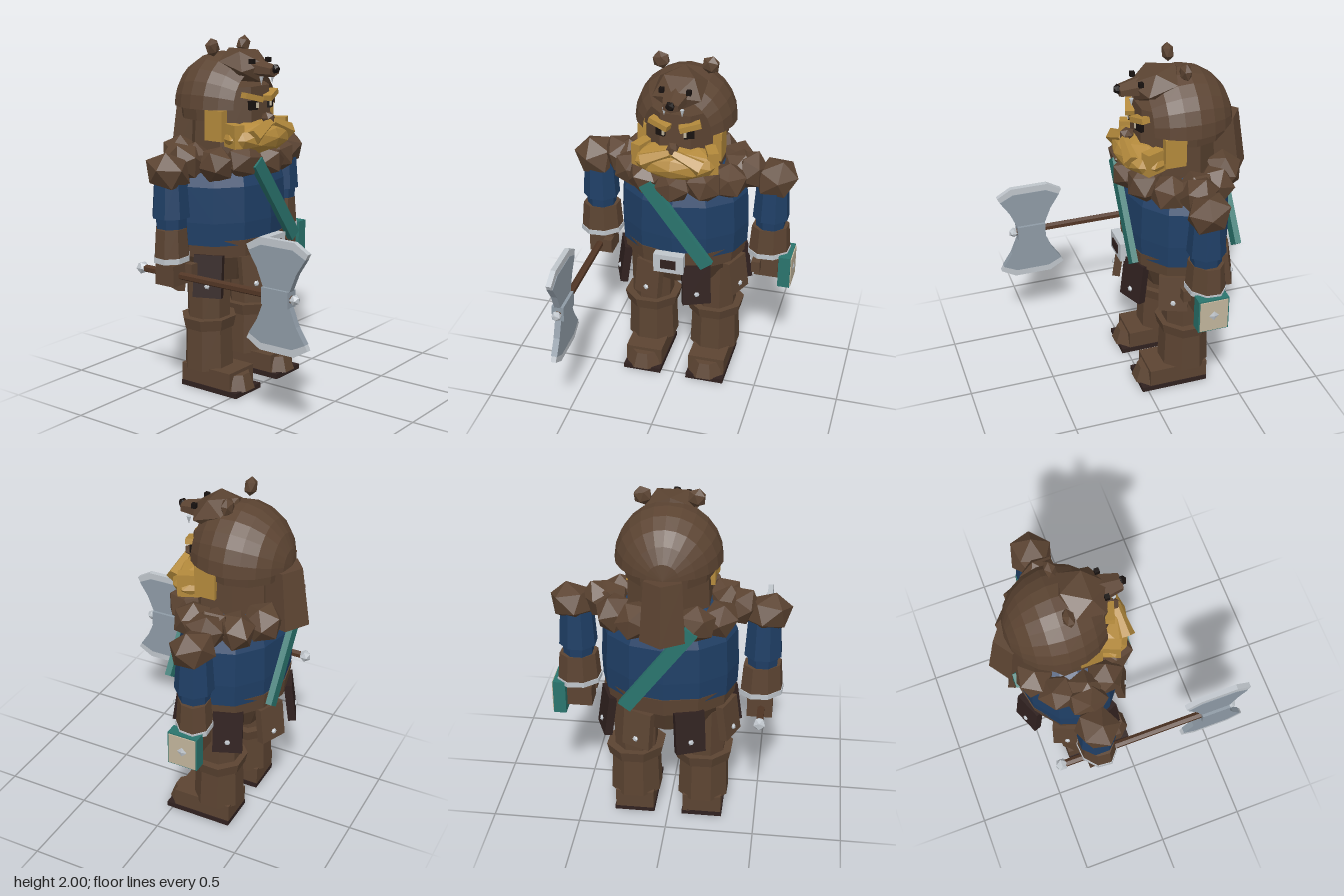
import * as THREE from 'three';

const mat = (name, color) => {
  const m = new THREE.MeshStandardMaterial({ color });
  m.name = name;
  return m;
};

export function createModel() {
  const root = new THREE.Group();
  root.name = 'warrior';
  const brown = mat('brown fur and leather', 0x5c4432);
  const dark = mat('dark leather', 0x30211f);
  const blue = mat('blue cloth', 0x1f3f66);
  const teal = mat('teal', 0x2a756e);
  const gold = mat('golden hair', 0xb48a3c);
  const steel = mat('steel', 0x8f9ba6);
  const silver = mat('silver', 0xc0c6cc);
  const cream = mat('cream', 0xc2b59c);
  const black = mat('black', 0x17110f);
  const wood = mat('wood', 0x523625);
  const Z = -0.25; // body axis

  // faceted mesh with position, rotation and scale
  function add(name, geo, m, p, r = [0, 0, 0], s = [1, 1, 1], parent = root) {
    const g = geo.index ? geo.toNonIndexed() : geo;
    g.computeVertexNormals();
    const mesh = new THREE.Mesh(g, m);
    mesh.name = name;
    mesh.position.set(...p);
    mesh.rotation.set(...r);
    mesh.scale.set(...s);
    parent.add(mesh);
    return mesh;
  }
  const box = (w, h, d) => new THREE.BoxGeometry(w, h, d);
  const cyl = (rt, rb, h, n = 8) => new THREE.CylinderGeometry(rt, rb, h, n);
  const ico = (r, d = 0) => new THREE.IcosahedronGeometry(r, d);
  const lathe = (pts, n) => new THREE.LatheGeometry(pts.map(p => new THREE.Vector2(...p)), n);

  // torso, belt, hips
  add('tunic', lathe([[0, 0.86], [0.375, 0.87], [0.38, 1.0], [0.37, 1.2], [0.31, 1.33], [0.15, 1.4], [0, 1.4]], 12),
    blue, [0, 0, Z], [0, 0, 0], [1, 1, 0.79]);
  add('belt', cyl(0.37, 0.36, 0.1, 12), brown, [0, 0.85, Z], [0, 0, 0], [1, 1, 0.82]);
  add('hips', cyl(0.35, 0.26, 0.16, 10), brown, [0, 0.73, Z], [0, 0, 0], [1, 1, 0.8]);
  add('buckle', box(0.175, 0.115, 0.05), silver, [-0.01, 0.85, 0.07]);
  add('buckleCentre', box(0.09, 0.055, 0.008), dark, [-0.01, 0.85, 0.098]);
  for (const [name, z] of [['frontStrap', 0.06], ['backStrap', -0.56]])
    add(name, box(0.08, 0.6, 0.035), teal, [0.03, 1.1, z], [0, 0, 0.637]);

  // ring of hanging flaps with studs
  for (let i = 0; i < 8; i++) {
    const a = (i + 0.5) * Math.PI / 4;
    const flap = new THREE.Group();
    flap.name = 'skirtFlap';
    flap.position.set(Math.sin(a) * 0.365, 0.7, Z + Math.cos(a) * 0.305);
    flap.rotation.set(-0.14, a, 0, 'YXZ');
    root.add(flap);
    const isDark = i % 2 === 0;
    add('flap', box(0.165, isDark ? 0.24 : 0.21, 0.045), isDark ? dark : brown, [0, 0, 0], [0, 0, 0], [1, 1, 1], flap);
    add('stud', ico(0.017), silver, [0, -0.055, 0.026], [0, 0, 0], [1, 1, 0.7], flap);
  }

  for (const s of [-1, 1]) {
    // legs and boots
    const x = s * 0.195;
    add('thigh', cyl(0.13, 0.125, 0.32), brown, [x, 0.56, Z], [0, Math.PI / 8, 0]);
    add('bootCuff', cyl(0.175, 0.16, 0.065), brown, [x, 0.395, Z], [0, Math.PI / 8, 0], [1, 1, 0.92]);
    add('bootShaft', cyl(0.142, 0.152, 0.26), brown, [x, 0.25, Z], [0, Math.PI / 8, 0], [1, 1, 0.95]);
    add('bootFoot', box(0.22, 0.11, 0.35), brown, [x, 0.08, -0.19]);
    add('bootToe', cyl(0.08, 0.115, 0.09, 8), brown, [x, 0.07, -0.05], [0, Math.PI / 8, 0], [1, 1, 0.95]);
    add('sole', box(0.23, 0.03, 0.4), dark, [x, 0.015, -0.165]);

    // arms
    const ax = s * 0.51;
    add('sleeve', cyl(0.09, 0.108, 0.26), blue, [ax, 1.19, Z], [0, Math.PI / 8, 0]);
    add('sleeveBand', cyl(0.09, 0.085, 0.08), blue, [ax, 1.03, Z], [0, Math.PI / 8, 0]);
    add('bracer', cyl(0.11, 0.125, 0.18), brown, [ax, 0.91, Z], [0, Math.PI / 8, 0], [1, 1, 0.8]);
    add('braceletRing', cyl(0.128, 0.128, 0.03), silver, [ax, 0.83, Z], [0, Math.PI / 8, 0], [1, 1, 0.8]);
    add('hand', box(0.14, 0.12, 0.13), brown, [s * 0.505, 0.74, Z]);
    add('thumb', box(0.05, 0.07, 0.06), brown, [s * 0.45, 0.76, Z + 0.08]);

    // shoulder fur
    add('shoulderFur', ico(0.135), brown, [s * 0.53, 1.31, Z], [0.3, 0.4 * s, 0.3 * s], [1, 0.82, 0.98]);
    add('innerShoulderFur', ico(0.12), brown, [s * 0.38, 1.34, Z], [0.5, 0.2, s], [1, 0.8, 1]);

    // face halves
    add('sideburn', box(0.05, 0.17, 0.12), gold, [s * 0.215, 1.53, -0.17]);
    add('cheekBeard', box(0.06, 0.13, 0.13), gold, [s * 0.195, 1.48, -0.06], [0, s * 0.4, 0]);
    add('moustache', cyl(0.025, 0.05, 0.17, 5), gold, [s * 0.085, 1.51, 0.05], [0, 0, s * 1.15]);
    add('eye', box(0.055, 0.05, 0.02), black, [s * 0.08, 1.64, -0.015], [0, s * 0.35, 0]);
    add('eyeShine', box(0.015, 0.03, 0.008), cream, [s * 0.062, 1.64, 0.002], [0, s * 0.35, 0]);
    add('eyebrow', box(0.12, 0.032, 0.05), gold, [s * 0.085, 1.685, -0.015], [0, s * 0.3, s * 0.25]);

    // bear hood halves
    add('bearEar', ico(0.053), brown, [s * 0.14, 1.95, -0.25], [0, 0, s * 0.3], [1, 1, 0.65]);
    add('bearEye', box(0.026, 0.026, 0.026), black, [s * 0.075, 1.88, -0.025]);
    add('bearTooth', new THREE.ConeGeometry(0.013, 0.045, 5), silver, [s * 0.05, 1.775, 0.02], [Math.PI, 0, 0]);
  }

  // fur collar
  for (let i = 0; i < 12; i++) {
    const a = i * Math.PI / 6;
    add('collarFur', ico(0.115), brown,
      [Math.sin(a) * 0.325, 1.325 + 0.015 * (i % 2), Z + Math.cos(a) * 0.26],
      [i * 1.3, i * 0.7, i * 2.1], [1, 0.88, 1]);
  }

  // head and beard
  add('head', cyl(0.22, 0.24, 0.4, 8), brown, [0, 1.54, -0.23], [0, Math.PI / 8, 0]);
  add('nose', ico(0.045), brown, [0, 1.565, 0.03], [0, 0, 0], [0.8, 0.85, 1]);
  add('beard', ico(0.25, 1), gold, [0, 1.46, -0.045], [0, 0, 0], [1, 0.4, 0.6]);

  // bear hood: half dome open at the face
  const hood = new THREE.SphereGeometry(0.287, 12, 8, 0, Math.PI, 0, 2.4).rotateX(-Math.PI / 2);
  const hoodMat = mat('brown hood', 0x5c4432);
  hoodMat.side = THREE.DoubleSide;
  add('hoodDome', hood, hoodMat, [0, 1.62, -0.275], [0, 0, 0], [1, 1.05, 1]);
  add('hoodNape', cyl(0.25, 0.24, 0.1, 12), brown, [0, 1.6, -0.285]);
  add('hoodTail', cyl(0.105, 0.125, 0.33, 5), brown, [0, 1.445, -0.535], [0.1, Math.PI, 0]);
  add('bearHead', ico(0.16), brown, [0, 1.85, -0.13], [0.3, 0, 0], [1, 0.62, 1]);
  add('bearSnout', cyl(0.05, 0.085, 0.14, 6), brown, [0, 1.835, 0.005], [Math.PI / 2 + 0.1, 0, 0], [1, 1, 0.65]);
  add('bearNose', ico(0.028), black, [0, 1.84, 0.08]);

  // small book at the left hand
  add('bookCover', box(0.07, 0.2, 0.175), teal, [0.615, 0.735, Z]);
  add('bookPage', box(0.008, 0.185, 0.16), cream, [0.652, 0.735, Z]);
  add('bookGem', new THREE.OctahedronGeometry(0.033), silver, [0.655, 0.735, Z], [0, 0, 0], [0.25, 1, 1]);

  // double-bladed axe
  const axe = new THREE.Group();
  axe.name = 'axe';
  axe.position.set(-0.513, 0.735, 0.475);
  root.add(axe);
  const part = (name, geo, m, p, r, s) => add(name, geo, m, p, r, s, axe);
  part('handle', cyl(0.022, 0.022, 1.02, 6), wood, [0, 0, -0.42], [Math.PI / 2, 0, 0]);
  part('pommel', ico(0.037), silver, [0, 0, -0.94]);
  part('socket', box(0.07, 0.09, 0.17), steel, [0, 0, 0]);
  part('axeTip', ico(0.03), silver, [0, 0, 0.105]);
  const plate = (pts, t) => new THREE.ExtrudeGeometry(
    new THREE.Shape(pts.map(p => new THREE.Vector2(...p))), { depth: t, bevelEnabled: false })
    .translate(0, 0, -t / 2).rotateY(-Math.PI / 2);
  const body = [[-0.08, 0.03], [0.08, 0.03], [0.125, 0.14], [0.18, 0.225], [0.1, 0.265], [-0.1, 0.265], [-0.18, 0.225], [-0.125, 0.14]];
  const edge = [[0.18, 0.225], [0.195, 0.255], [0.11, 0.305], [-0.11, 0.305], [-0.195, 0.255], [-0.18, 0.225], [-0.1, 0.265], [0.1, 0.265]];
  for (const a of [0, Math.PI]) {
    part('axeBlade', plate(body, 0.036), steel, [0, 0, 0], [a, 0, 0]);
    part('axeEdge', plate(edge, 0.03), silver, [0, 0, 0], [a, 0, 0]);
  }
  return root;
}
